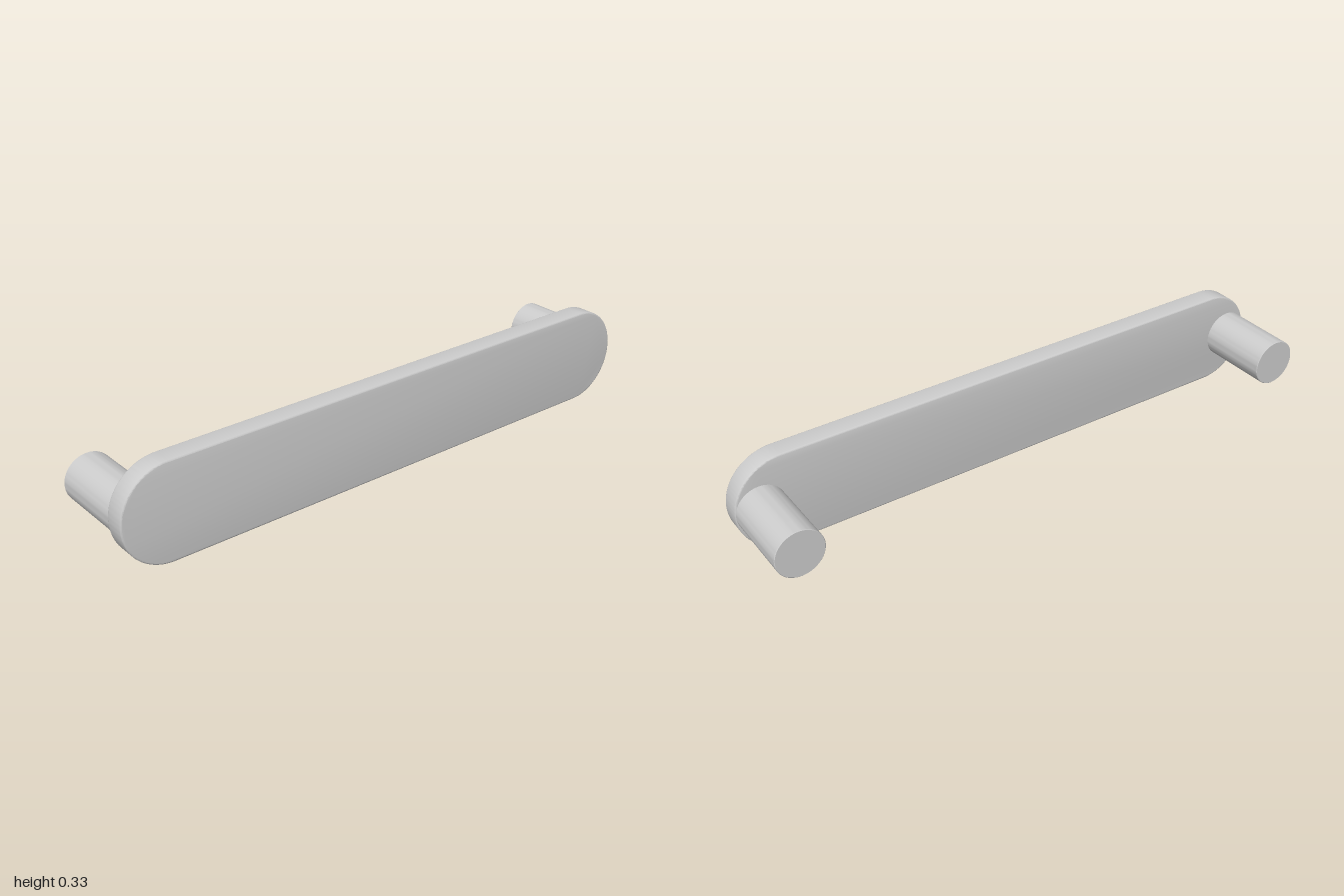
import * as THREE from 'three';
import { toCreasedNormals } from 'three/addons/utils/BufferGeometryUtils.js';

const material = new THREE.MeshStandardMaterial({ color: 0xcccccc });
const R = 0.164;          // plate end radius, half its height
const FRONT = 0.164;      // plate front face
const PLATE_BACK = 0.093; // plate rear face
const POST_R = 0.081;

// Stadium-shaped plate with softly rounded rims
function createPlate() {
  const end = 1 - R;
  const shape = new THREE.Shape();
  shape.absarc(end, 0, R, -Math.PI / 2, Math.PI / 2, false);
  shape.absarc(-end, 0, R, Math.PI / 2, Math.PI * 1.5, false);
  shape.closePath();
  const bevel = 0.005;
  const geometry = new THREE.ExtrudeGeometry(shape, {
    depth: FRONT - PLATE_BACK - 2 * bevel,
    bevelThickness: bevel, bevelSize: bevel, bevelOffset: -bevel,
    bevelSegments: 3, curveSegments: 40,
  });
  geometry.translate(0, R, PLATE_BACK + bevel);
  const plate = new THREE.Mesh(toCreasedNormals(geometry, 0.6), material);
  plate.name = 'plate';
  return plate;
}

// Round mounting post running backwards from the plate, with a fine chamfer
function createPost(side) {
  const length = PLATE_BACK + 0.164;
  const c = 0.002;
  const profile = [
    [0, 0], [POST_R, 0], [POST_R, length - c], [POST_R - c, length], [0, length],
  ].map(([r, y]) => new THREE.Vector2(r, y));
  const geometry = new THREE.LatheGeometry(profile, 64).rotateX(-Math.PI / 2);
  const post = new THREE.Mesh(toCreasedNormals(geometry, 0.5), material);
  post.position.set(side * (0.998 - POST_R), R, PLATE_BACK);
  post.name = side > 0 ? 'leftPost' : 'rightPost';
  return post;
}

export function createModel() {
  const group = new THREE.Group();
  group.name = 'pullHandle';
  group.add(createPlate());
  for (const side of [1, -1]) group.add(createPost(side));
  return group;
}
